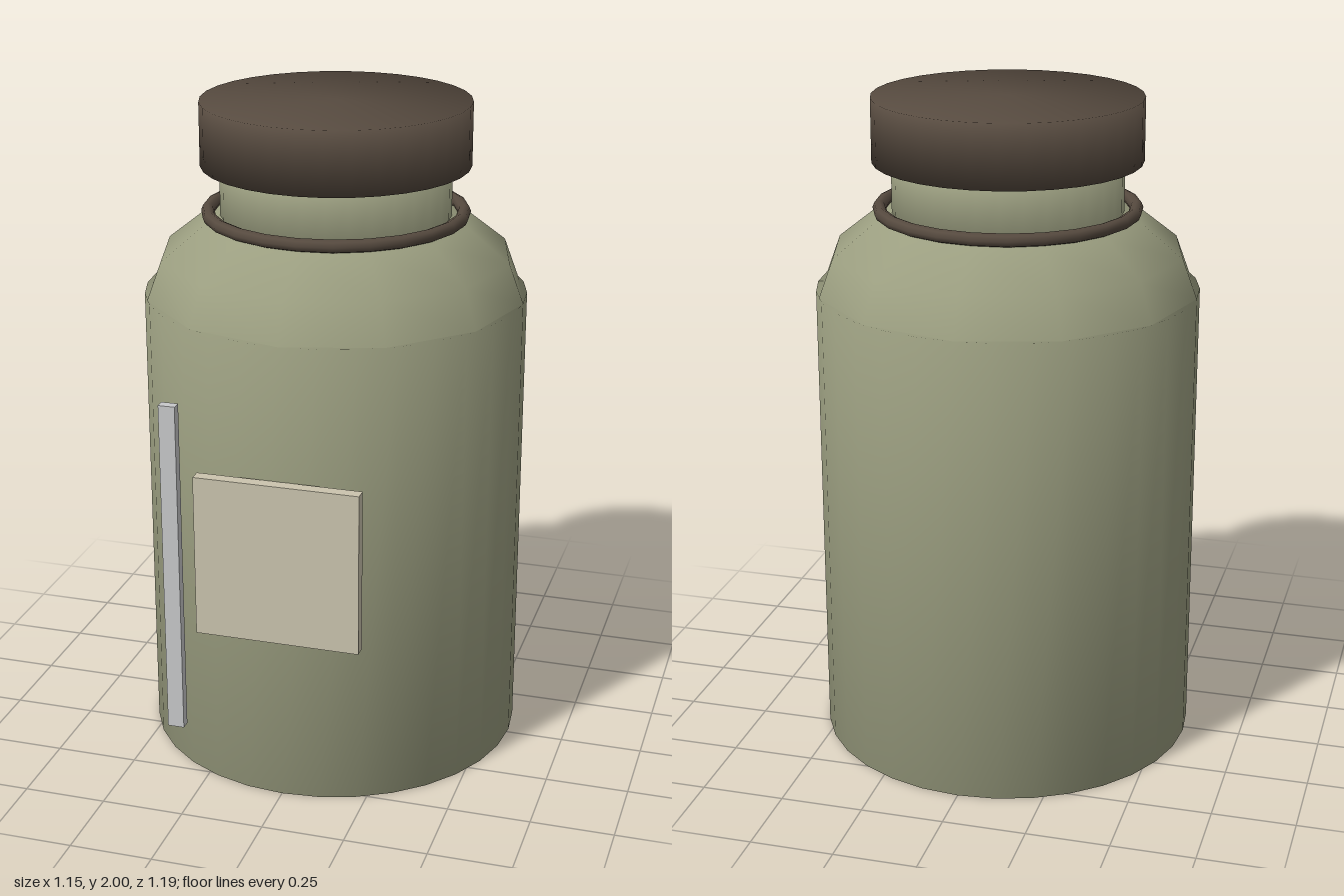
import * as THREE from 'three';
import { mergeVertices } from 'three/addons/utils/BufferGeometryUtils.js';

const paint = (name, color) => {
  const m = new THREE.MeshStandardMaterial({ color });
  m.name = name;
  return m;
};

// Weld the rims so the shading runs smoothly over the edges
function smooth(geometry) {
  geometry.deleteAttribute('normal');
  geometry.deleteAttribute('uv');
  const welded = mergeVertices(geometry, 1e-4);
  welded.computeVertexNormals();
  return welded;
}

export function createModel() {
  const green = paint('sage green', 0x9b9e80);
  const brown = paint('dark brown', 0x564a3f);
  const cream = paint('label cream', 0xcbc4ae);
  const grey = paint('light grey', 0xc8c9cb);

  const model = new THREE.Group();
  const jar = new THREE.Group();
  jar.name = 'jar';
  jar.position.z = -0.02;
  model.add(jar);

  const add = (parent, name, geometry, material, x, y, z) => {
    const mesh = new THREE.Mesh(geometry, material);
    mesh.name = name;
    mesh.position.set(x, y, z);
    parent.add(mesh);
    return mesh;
  };
  const drum = (name, radius, y0, y1, material) =>
    add(jar, name, smooth(new THREE.CylinderGeometry(radius, radius, y1 - y0, 32)),
      material, 0, (y0 + y1) / 2, 0);

  // Round parts
  drum('body', 0.575, 0, 1.425, green);
  drum('neck', 0.345, 1.55, 1.82, green);
  drum('cap', 0.402, 1.81, 2, brown);

  // Faceted dome between body and neck
  const dome = new THREE.SphereGeometry(0.575, 12, 4, 0, Math.PI * 2, 0, Math.PI / 2);
  dome.scale(1, 0.53, 1);
  add(jar, 'shoulder', smooth(dome), green, 0, 1.425, 0);

  // Ring around the foot of the neck
  const ring = new THREE.TorusGeometry(0.382, 0.02, 8, 24);
  ring.rotateX(Math.PI / 2);
  add(jar, 'neckRing', ring, brown, 0, 1.665, 0);

  // Plates on the front
  add(model, 'label', new THREE.BoxGeometry(0.495, 0.495, 0.038), cream, 0, 0.772, 0.573);
  add(model, 'gaugeStrip', new THREE.BoxGeometry(0.05, 1.03, 0.03), grey, -0.32, 0.715, 0.58);

  return model;
}
